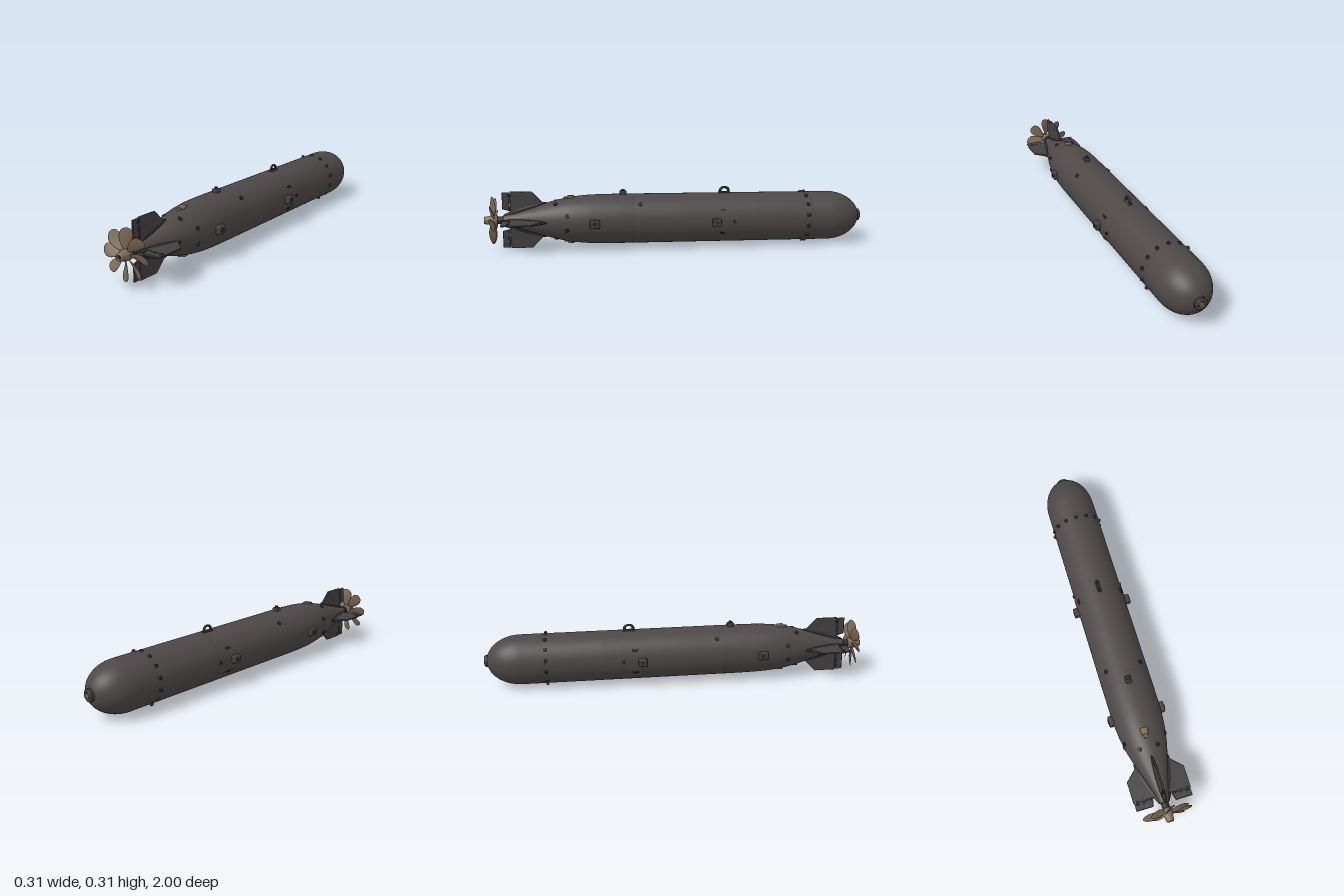
import * as THREE from 'three';
import { RoundedBoxGeometry } from 'three/addons/geometries/RoundedBoxGeometry.js';

const flat = (name, color, side = THREE.FrontSide) => {
  const m = new THREE.MeshStandardMaterial({ color, side });
  m.name = name;
  return m;
};

export function createModel() {
  const steel = flat('dark steel', 0x4d4847);
  const finSteel = flat('fin steel', 0x434041);
  const black = flat('blackened metal', 0x2c2a2a);
  const bronze = flat('bronze', 0x7d6b55);

  const model = new THREE.Group();
  model.name = 'torpedo';
  const R = 0.129;

  const add = (parent, name, geo, mat, x = 0, y = 0, z = 0) => {
    const m = new THREE.Mesh(geo, mat);
    m.name = name;
    m.position.set(x, y, z);
    parent.add(m);
    return m;
  };
  // group turned about the long axis; angle 0 is +x, 90 degrees is the top
  const around = (deg, name) => {
    const g = new THREE.Group();
    g.name = name;
    g.rotation.z = THREE.MathUtils.degToRad(deg);
    model.add(g);
    return g;
  };
  // surface of revolution along z from [z, radius] pairs
  const turned = (pts, seg = 64) =>
    new THREE.LatheGeometry(pts.map(([z, r]) => new THREE.Vector2(r, z)), seg).rotateX(Math.PI / 2);
  const rod = (r, len, seg = 24) => new THREE.CylinderGeometry(r, r, len, seg).rotateX(Math.PI / 2);
  const stud = (r, h, seg = 12) => new THREE.CylinderGeometry(r, r, h, seg).rotateZ(-Math.PI / 2);

  // hull: rounded nose, straight body, tapering tail
  const profile = [];
  for (let i = 0; i <= 16; i++) {
    const a = (i / 16) * Math.PI / 2;
    profile.push([-0.81 - 0.175 * Math.cos(a), R * Math.sin(a)]);
  }
  profile.push([-0.4, R], [0, R], [0.3, R], [0.4, 0.128]);
  const tail = new THREE.SplineCurve([[0.46, 0.126], [0.54, 0.118], [0.62, 0.103], [0.7, 0.081],
    [0.78, 0.056], [0.85, 0.036], [0.9, 0.025]].map(p => new THREE.Vector2(...p)));
  tail.getPoints(24).forEach(p => profile.push([p.x, p.y]));
  profile.push([0.905, 0]);
  add(model, 'hull', turned(profile, 72), steel);

  // seams between hull sections
  for (const z of [-0.7, -0.3, 0.24])
    add(model, 'hullSeam', new THREE.CylinderGeometry(R + 0.001, R + 0.001, 0.004, 72, 1, true)
      .rotateX(Math.PI / 2), finSteel, 0, 0, z);

  // nose fitting
  add(model, 'noseCollar', rod(0.032, 0.022), finSteel, 0, 0, -0.98);
  add(model, 'noseRing', new THREE.TorusGeometry(0.022, 0.006, 10, 28), steel, 0, 0, -0.991);
  add(model, 'noseCap', rod(0.012, 0.018), bronze, 0, 0, -0.99);

  // bolts around the nose joint
  for (let i = 0; i < 14; i++) {
    const g = around(i * 360 / 14 + 12.86, 'noseJointBolt');
    add(g, 'boltPad', new RoundedBoxGeometry(0.012, 0.016, 0.016, 2, 0.003), finSteel, R + 0.002, 0, -0.68);
    add(g, 'boltHead', stud(0.005, 0.006), black, R + 0.008, 0, -0.68);
  }

  // four fins with hinged trailing flaps
  const finPlate = (pts, thick) => {
    const geo = new THREE.ExtrudeGeometry(new THREE.Shape(pts.map(p => new THREE.Vector2(...p))),
      { depth: thick, bevelEnabled: true, bevelSize: 0.002, bevelThickness: 0.002, bevelSegments: 1 });
    geo.translate(0, 0, -thick / 2).rotateX(Math.PI / 2);
    const p = geo.attributes.position;
    // thinner towards the tip
    for (let i = 0; i < p.count; i++) p.setY(i, p.getY(i) * (1.5 - 5.5 * p.getX(i)));
    geo.computeVertexNormals();
    return geo;
  };
  for (let i = 0; i < 4; i++) {
    const g = around(i * 90, 'tailFin');
    add(g, 'finBlade', finPlate([[0.03, 0.67], [0.088, 0.7], [0.146, 0.755], [0.146, 0.862],
      [0.04, 0.862], [0.025, 0.84]], 0.01), finSteel);
    add(g, 'finFlap', finPlate([[0.05, 0.868], [0.142, 0.868], [0.142, 0.902], [0.06, 0.902]], 0.007), finSteel);
    for (const r of [0.062, 0.095, 0.128])
      add(g, 'flapHinge', new RoundedBoxGeometry(0.014, 0.014, 0.022, 1, 0.003), black, r, 0, 0.866);
    // fairing along the fin root
    const root = new THREE.SphereGeometry(1, 16, 12).scale(0.018, 0.012, 0.12);
    add(g, 'finRoot', root, black, 0.054, 0, 0.79).rotation.y = -0.3;
  }

  // propeller shaft and hub
  add(model, 'shaft', rod(0.019, 0.06), black, 0, 0, 0.91);
  add(model, 'propellerHub', turned([[0.928, 0], [0.928, 0.024], [0.936, 0.028], [0.962, 0.028],
    [0.968, 0.022], [0.988, 0.02], [0.996, 0.017], [0.996, 0.01], [0.985, 0.01], [0.985, 0]], 32), bronze);
  add(model, 'hubNut', rod(0.008, 0.008, 6), black, 0, 0, 0.988);

  // petal-shaped twisted blades
  const blade = new THREE.SphereGeometry(1, 20, 20);
  const bp = blade.attributes.position;
  for (let i = 0; i < bp.count; i++) {
    const t = bp.getY(i);
    const r = 0.074 + 0.053 * t;
    const chord = bp.getX(i) * (0.029 + 0.011 * t);
    const thick = bp.getZ(i) * 0.0035;
    const pitch = 0.55 - 0.2 * t;
    const sweep = 0.006 * (1 - t * t);
    bp.setXYZ(i, r, chord * Math.cos(pitch) - thick * Math.sin(pitch) + sweep,
      chord * Math.sin(pitch) + thick * Math.cos(pitch));
  }
  // the rule mirrors the sphere, so reverse its faces
  const ix = blade.index;
  for (let i = 0; i < ix.count; i += 3) {
    const a = ix.getX(i);
    ix.setX(i, ix.getX(i + 1));
    ix.setX(i + 1, a);
  }
  blade.computeVertexNormals();
  for (let i = 0; i < 8; i++)
    add(around(84 + i * 45, 'propellerBlade'), 'blade', blade, bronze, 0, 0, 0.95);

  // side guide lugs and access panels
  for (const deg of [0, 180]) {
    const g = around(deg, 'sideFittings');
    add(g, 'rearLug', new RoundedBoxGeometry(0.03, 0.042, 0.052, 2, 0.006), finSteel, 0.133, 0, 0.435);
    add(g, 'rearLugBolt', stud(0.01, 0.006), black, 0.148, 0, 0.435);
    add(g, 'frontLug', new RoundedBoxGeometry(0.036, 0.04, 0.045, 2, 0.006), finSteel, 0.137, 0, -0.19);
    add(g, 'frontLugBolt', stud(0.009, 0.005), black, 0.154, 0, -0.19);
    add(g, 'panelBolt', stud(0.008, 0.012), black, R, 0, -0.285);
    // curved cover plate, slightly proud of the hull
    add(g, 'accessPanel', new THREE.CylinderGeometry(R + 0.003, R + 0.003, 0.085, 16, 1, true,
      Math.PI / 2 - 0.48, 0.96).rotateX(Math.PI / 2), flatPanel(), 0, 0, -0.225);
    for (const s of [-1, 1])
      add(g, 'panelClip', new RoundedBoxGeometry(0.008, 0.012, 0.03, 1, 0.002), black,
        R * Math.cos(0.48) + 0.002, s * R * Math.sin(0.48), -0.225).rotation.z = s * 0.48;
  }
  function flatPanel() {
    steel.side = THREE.DoubleSide;
    return steel;
  }

  // lifting eye and guide stud on top
  const top = around(90, 'topFittings');
  add(top, 'eyeBase', new RoundedBoxGeometry(0.012, 0.02, 0.064, 2, 0.004), finSteel, R + 0.001, 0, -0.25);
  const eye = new THREE.TorusGeometry(0.018, 0.006, 10, 24).scale(1, 1.25, 1).rotateX(Math.PI / 2);
  add(top, 'liftingEye', eye, black, R + 0.012, 0, -0.25);
  add(top, 'guideStudBase', new RoundedBoxGeometry(0.026, 0.03, 0.036, 2, 0.005), finSteel, R + 0.005, 0, 0.285);
  add(top, 'guideStud', stud(0.009, 0.012), black, R + 0.019, 0, 0.285);

  // bronze valve blocks above and below the tail
  for (const deg of [90, 270]) {
    const g = around(deg, 'valveBlock');
    add(g, 'valveBody', new RoundedBoxGeometry(0.02, 0.036, 0.034, 2, 0.005), bronze, 0.115, 0, 0.555);
    add(g, 'valveStem', new RoundedBoxGeometry(0.014, 0.02, 0.022, 2, 0.004), bronze, 0.112, 0, 0.58);
  }

  // small plugs on the hull: [z, radius, angles]
  const plugs = [[0.2, R, [45, 135]], [0.575, 0.112, [20, 160, 200, 340]], [0.63, 0.1, [62, 118, 242, 298]]];
  for (const [z, r, angles] of plugs)
    for (const deg of angles) add(around(deg, 'hullPlug'), 'plug', stud(0.011, 0.01), black, r, 0, z);

  // the body lies slightly nose-down
  model.rotation.x = -0.011;
  model.position.y = 0.138;
  const out = new THREE.Group();
  out.name = 'model';
  out.add(model);
  return out;
}
